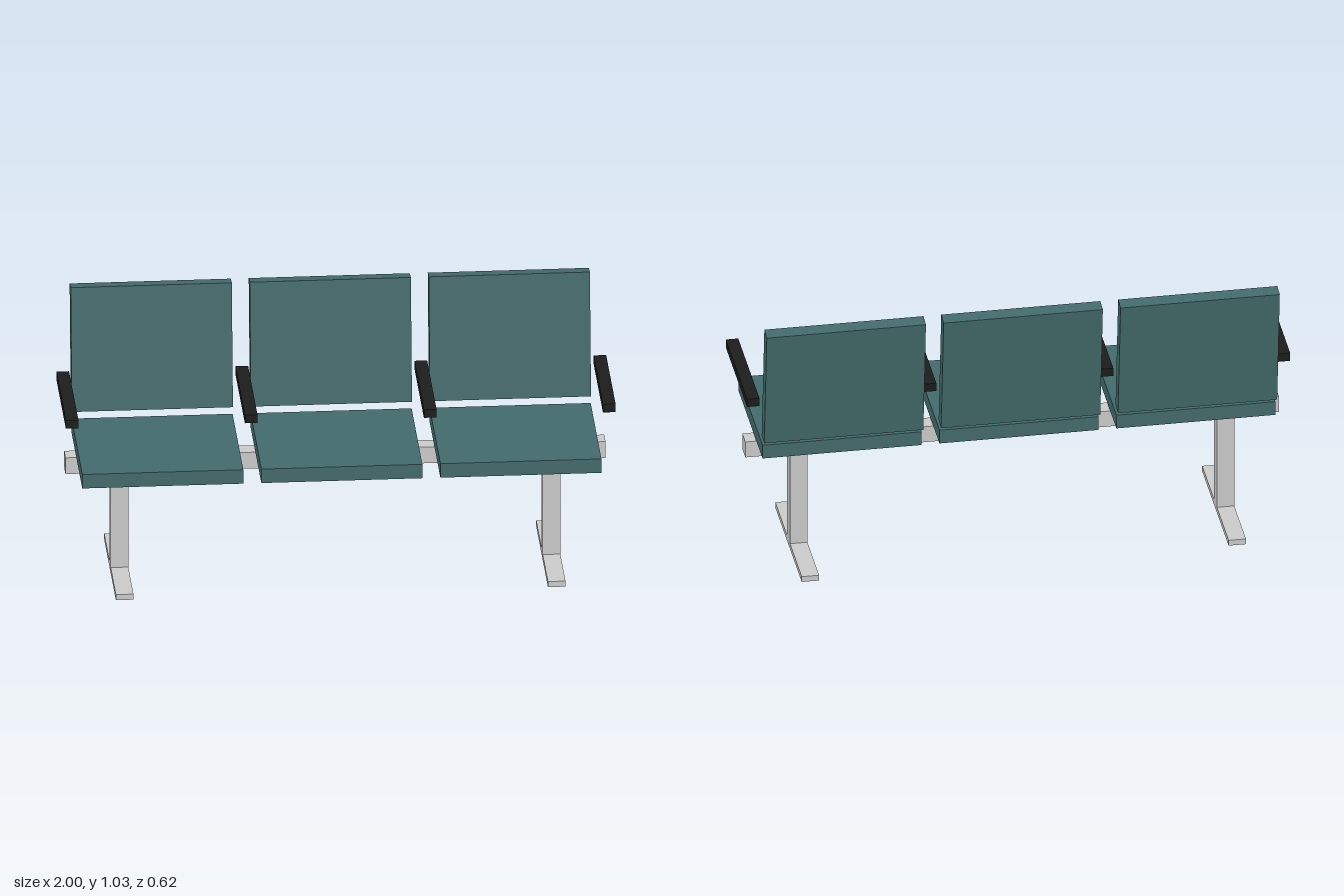
import * as THREE from 'three';

export function createModel() {
  const model = new THREE.Group();
  const metal = new THREE.MeshStandardMaterial({ color: 0xcccccc });
  const fabric = new THREE.MeshStandardMaterial({ color: 0x436a6b });
  const rubber = new THREE.MeshStandardMaterial({ color: 0x1c1c1c });

  const box = (name, material, size, position) => {
    const mesh = new THREE.Mesh(new THREE.BoxGeometry(...size), material);
    mesh.name = name;
    mesh.position.set(...position);
    model.add(mesh);
    return mesh;
  };

  const pitch = 0.6515; // spacing of the seats
  const frameZ = -0.027; // centre line of the frame

  // Beam carrying the seats
  box('beam', metal, [1.965, 0.064, 0.064], [0, 0.429, frameZ]);

  // T-shaped legs
  for (const side of [-1, 1]) {
    box('leg', metal, [0.064, 0.375, 0.064], [side * 0.786, 0.2095, frameZ]);
    box('foot', metal, [0.064, 0.022, 0.56], [side * 0.786, 0.011, frameZ]);
  }

  // Seat pads and leaning backrests
  for (let i = -1; i <= 1; i++) {
    box('seat', fabric, [0.586, 0.055, 0.514], [i * pitch, 0.497, 0.052]);
    const back = box('backrest', fabric, [0.586, 0.471, 0.053], [i * pitch, 0.789, -0.241]);
    back.rotation.x = -0.117;
  }

  // Armrests beside and between the seats
  for (let i = 0; i < 4; i++) {
    box('armrest', rubber, [0.046, 0.032, 0.45], [(i - 1.5) * pitch, 0.7, 0.029]);
  }

  return model;
}
